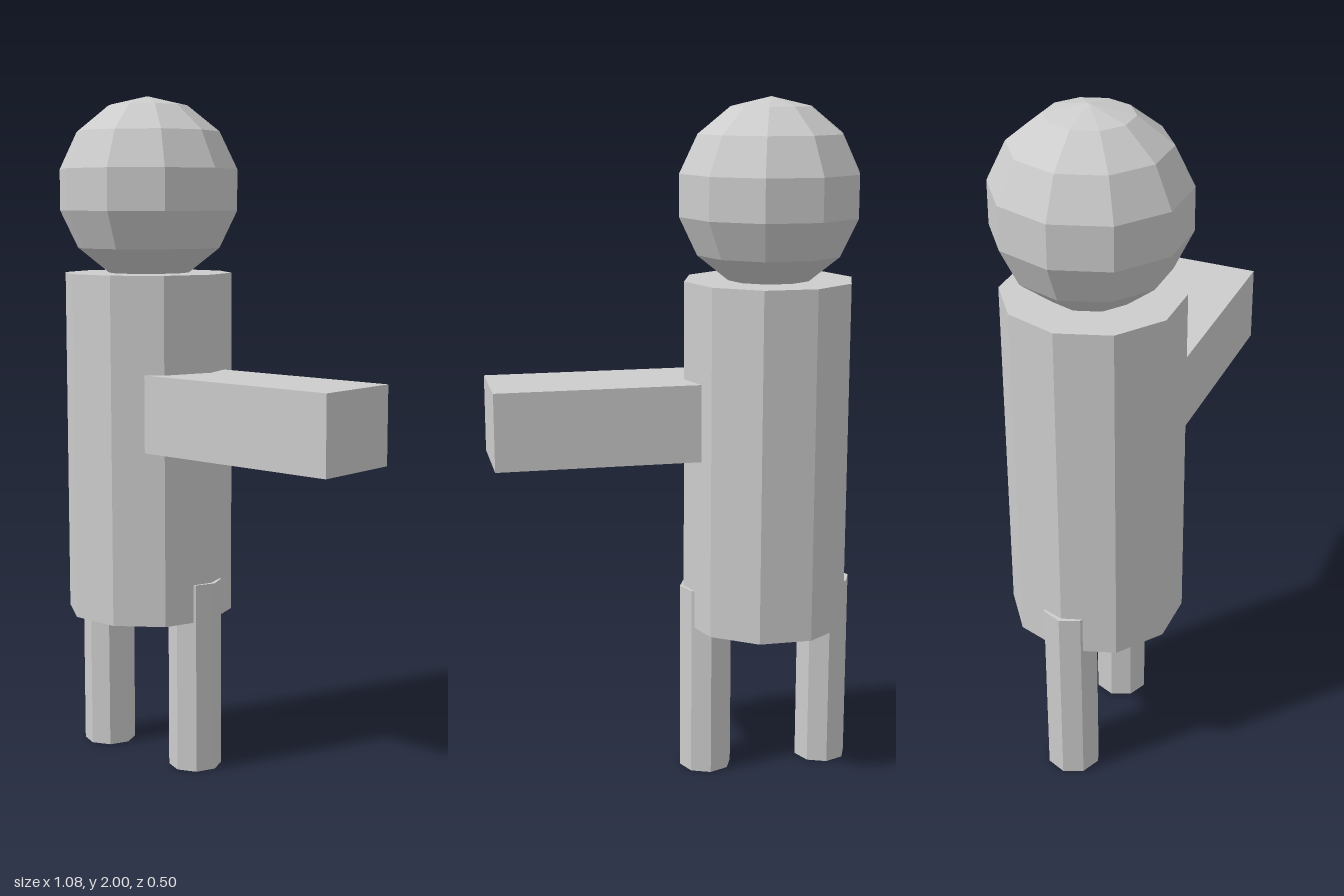
import * as THREE from 'three';

export function createModel() {
  const model = new THREE.Group();
  const grey = new THREE.MeshStandardMaterial({ color: 0xcccccc, flatShading: true });
  grey.name = 'light grey';

  const add = (name, geometry, x, y, z) => {
    const mesh = new THREE.Mesh(geometry, grey);
    mesh.name = name;
    mesh.position.set(x, y, z);
    model.add(mesh);
  };

  // Upright prism with a corner pointing along x
  const prism = (radius, height, sides) =>
    new THREE.CylinderGeometry(radius, radius, height, sides, 1, false, Math.PI / 2);

  const centreX = -0.274;

  // Faceted head and body
  add('head', new THREE.SphereGeometry(0.272, 10, 7), centreX, 1.728, 0);
  add('body', prism(0.25, 1.025, 10), centreX, 0.9725, 0.002);

  // Two octagonal legs that overlap the body
  for (const side of [-1, 1]) {
    add(side < 0 ? 'rightLeg' : 'leftLeg', prism(0.079, 0.574, 8), centreX + side * 0.183, 0.287, 0);
  }

  // Single block arm, its inner end sunk into the body
  const armStart = -0.25, armEnd = 0.537;
  add('arm', new THREE.BoxGeometry(armEnd - armStart, 0.226, 0.276), (armStart + armEnd) / 2, 1.088, 0.045);

  return model;
}
